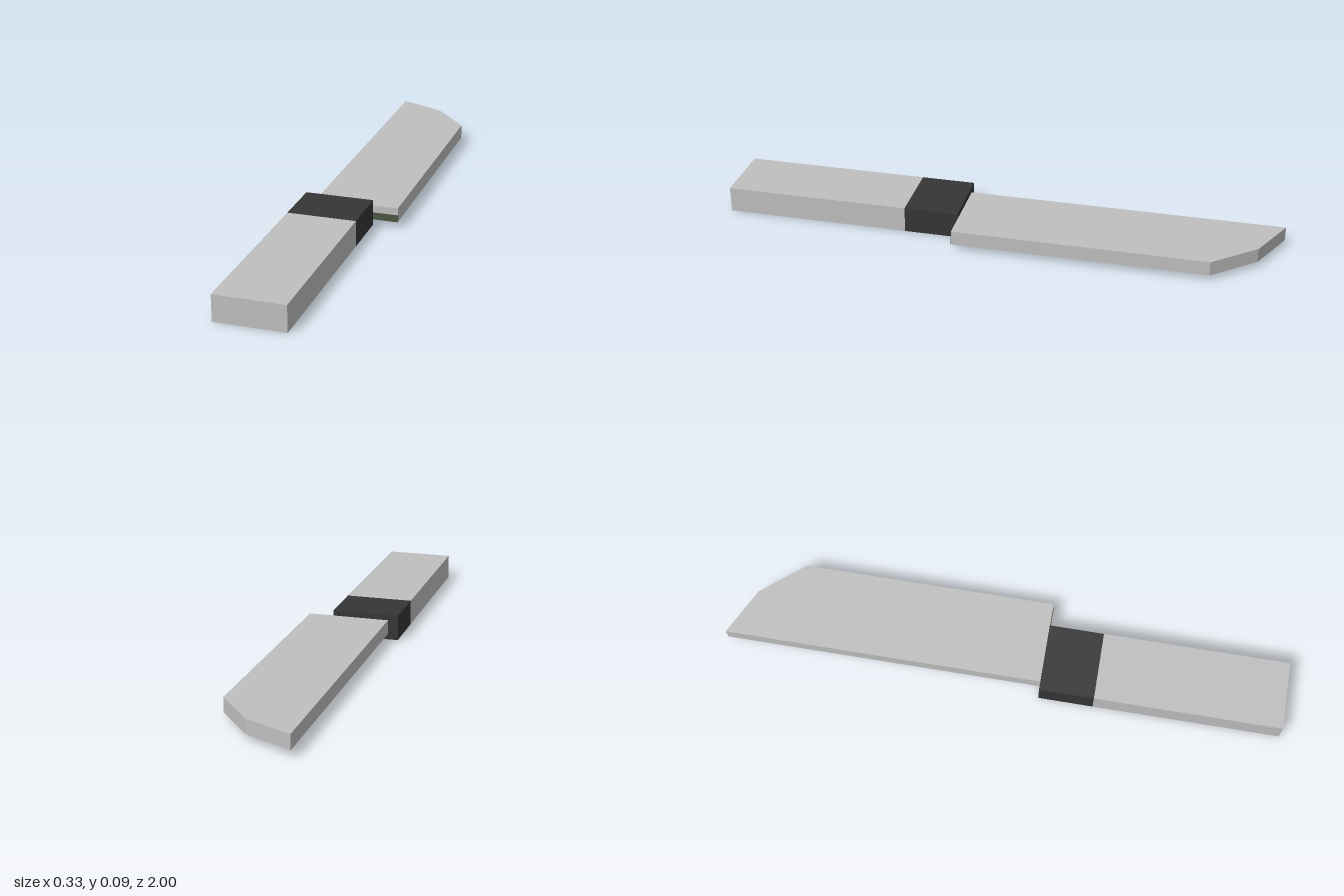
import * as THREE from 'three';

const mat = (name, color) => {
  const m = new THREE.MeshStandardMaterial({ color });
  m.name = name;
  return m;
};

export function createModel() {
  const steel = mat('light grey', 0xbfbfbf);
  const black = mat('charcoal', 0x353535);
  const olive = mat('dark olive', 0x4b5540);
  const group = new THREE.Group();
  group.name = 'knife';

  // Box given by its extents on each axis
  const addBox = (name, material, [x0, x1], [y0, y1], [z0, z1]) => {
    const mesh = new THREE.Mesh(new THREE.BoxGeometry(x1 - x0, y1 - y0, z1 - z0), material);
    mesh.position.set((x0 + x1) / 2, (y0 + y1) / 2, (z0 + z1) / 2);
    mesh.name = name;
    group.add(mesh);
  };

  // Handle and the dark collar in front of the blade
  const gripX = [-0.168, 0.077], gripY = [0, 0.093];
  addBox('handle', steel, gripX, gripY, [0.335, 1]);
  addBox('collar', black, gripX, gripY, [0.14, 0.335]);

  // Blade: flat outline with a clipped tip, extruded upwards
  const outline = [[-0.131, -0.14], [0.167, -0.14], [0.167, 0.767], [0.04, 0.918], [-0.131, 1]];
  const shape = new THREE.Shape(outline.map(([x, y]) => new THREE.Vector2(x, y)));
  const bladeGeo = new THREE.ExtrudeGeometry(shape, { depth: 0.052, bevelEnabled: false });
  bladeGeo.rotateX(-Math.PI / 2);
  const blade = new THREE.Mesh(bladeGeo, steel);
  blade.position.y = 0.021;
  blade.name = 'blade';
  group.add(blade);

  // Olive strip on the lower half of the blade's heel
  addBox('heelStrip', olive, [0.077, 0.167], [0.021, 0.047], [0.139, 0.141]);

  return group;
}
